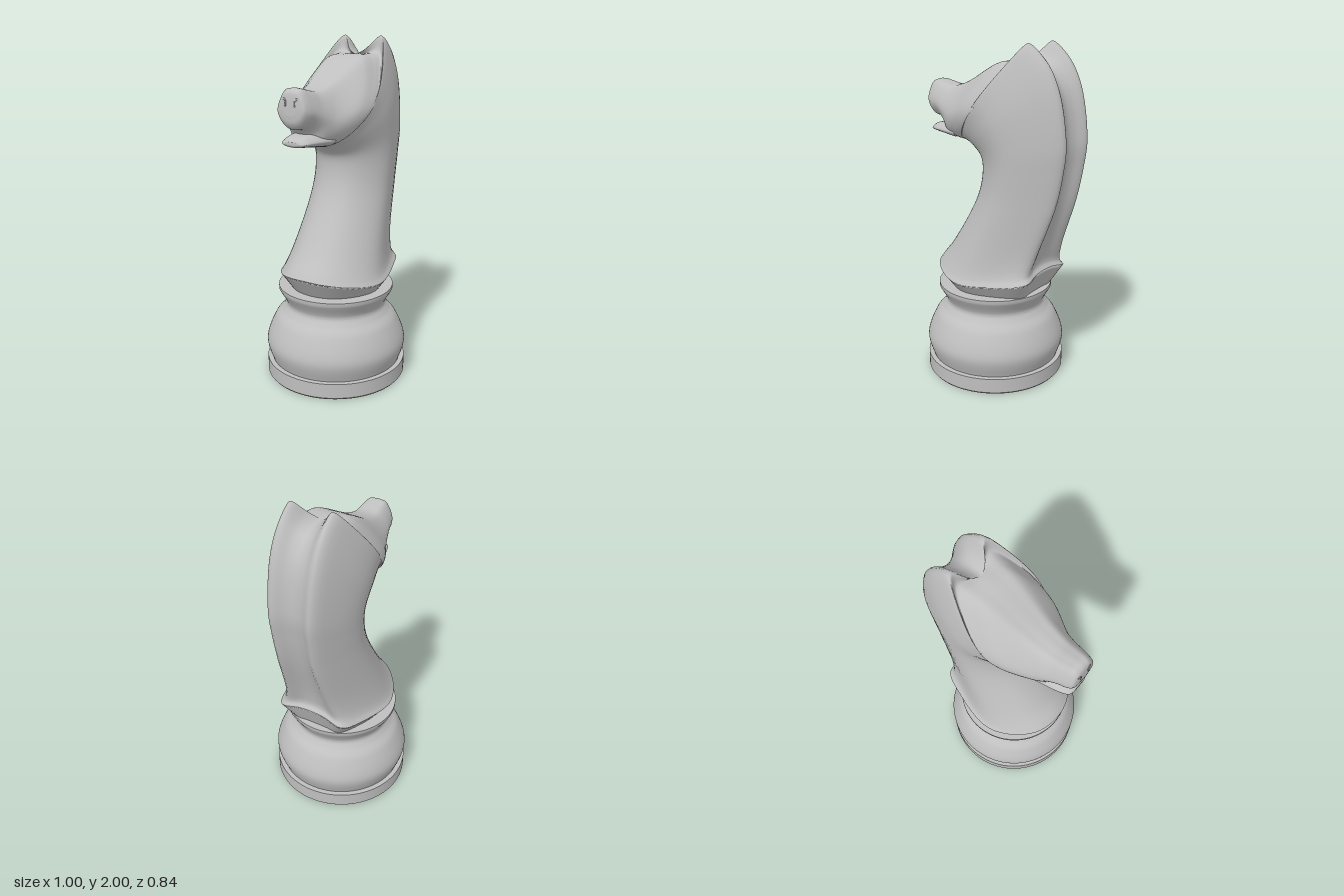
import * as THREE from 'three';
import { toCreasedNormals } from 'three/addons/utils/BufferGeometryUtils.js';

const SIDES = 64;   // points round each cross-section
const STEPS = 7;    // rings between neighbouring stations

// Closed cross-section from a front point to a back point, with two back ridges and a groove
function section([fx, fy, bx, by, width, groove, sag = 0]) {
  const ridge = 0.5 * width + 0.6 * Math.max(0, width - 0.25);
  const g = groove / Math.hypot(bx - fx, by - fy);
  const half = [
    [0.05, 0.45 * width], [0.22, 0.82 * width], [0.45, width],
    [0.8, ridge + (width - ridge) * 0.58], [1, ridge], [1 - 0.75 * g, ridge * 0.42],
  ];
  const mirrored = half.map(([v, w]) => [v, -w]).reverse();
  const points = [[0, 0], ...half, [1 - g, 0], ...mirrored].map(([v, w]) => new THREE.Vector3(
    fx + (bx - fx) * v,
    fy + (by - fy) * v - sag * (w / width) ** 2,
    w,
  ));
  const curve = new THREE.CatmullRomCurve3(points, true);
  return Array.from({ length: SIDES }, (_, j) => curve.getPoint(j / SIDES));
}

// Smooth skin through a row of cross-sections, closed at the far end
function loft(stations) {
  const loops = stations.map(section);
  const rings = (loops.length - 1) * STEPS;
  const positions = [];
  const index = [];
  const rails = loops[0].map((_, j) => new THREE.CatmullRomCurve3(loops.map((l) => l[j])));
  for (let i = 0; i <= rings; i++) {
    for (const rail of rails) positions.push(...rail.getPoint(i / rings).toArray());
  }
  for (let i = 0; i < rings; i++) {
    for (let j = 0; j < SIDES; j++) {
      const a = i * SIDES + j, b = i * SIDES + (j + 1) % SIDES;
      index.push(a, b, b + SIDES, a, b + SIDES, a + SIDES);
    }
  }
  const centre = new THREE.Vector3();
  loops.at(-1).forEach((p) => centre.addScaledVector(p, 1 / SIDES));
  positions.push(...centre.toArray());
  for (let j = 0; j < SIDES; j++) {
    index.push(rings * SIDES + j, rings * SIDES + (j + 1) % SIDES, (rings + 1) * SIDES);
  }
  const geometry = new THREE.BufferGeometry();
  geometry.setAttribute('position', new THREE.Float32BufferAttribute(positions, 3));
  geometry.setIndex(index);
  geometry.computeVertexNormals();
  return geometry;
}

// Lathe with crisp edges where the profile turns sharply
function turned(profile) {
  return toCreasedNormals(new THREE.LatheGeometry(profile, 80), 0.6);
}

export function createModel() {
  const model = new THREE.Group();
  model.name = 'chessKnight';
  const grey = new THREE.MeshStandardMaterial({ color: 0xbfbfbf });
  grey.name = 'grey';

  const add = (parent, name, geometry) => {
    const mesh = new THREE.Mesh(geometry, grey);
    mesh.name = name;
    parent.add(mesh);
    return mesh;
  };
  const v2 = (r, y) => new THREE.Vector2(r, y);

  // Turned base: flat foot, bulging body and flared rim
  const base = new THREE.Group();
  base.name = 'base';
  base.position.x = -0.055;
  model.add(base);
  add(base, 'foot', turned([v2(0, 0), v2(0.412, 0), v2(0.42, 0.01), v2(0.42, 0.098), v2(0, 0.098)]));
  const bulge = new THREE.SplineCurve([
    v2(0.39, 0.095), v2(0.42, 0.215), v2(0.37, 0.35),
    v2(0.318, 0.41), v2(0.299, 0.455), v2(0.338, 0.53),
  ]).getPoints(40);
  add(base, 'bulge', turned([...bulge, v2(0.343, 0.54), v2(0.343, 0.56), v2(0, 0.56)]));

  // Horse bust, turned slightly about the base axis
  const bust = new THREE.Group();
  bust.name = 'horse';
  bust.position.x = -0.055;
  bust.rotation.y = THREE.MathUtils.degToRad(10);
  model.add(bust);

  // Stations: front x, front y, back x, back y, half width, groove depth, side sag
  const rim = [-0.352, 0.68, 0.362, 0.7, 0.325, 0.01, 0.065];
  add(bust, 'collar', loft([[-0.265, 0.55, 0.295, 0.55, 0.27, 0], rim]));

  const neck = [
    rim,
    [-0.33, 0.71, 0.348, 0.73, 0.305, 0.015, 0.06],
    [-0.25, 0.81, 0.375, 0.82, 0.275, 0.03, 0.03],
    [-0.08, 1.1, 0.487, 1.13, 0.238, 0.05],
    [-0.04, 1.25, 0.527, 1.32, 0.235, 0.05],
    [-0.05, 1.345, 0.543, 1.48, 0.24, 0.05],
    [-0.12, 1.403, 0.492, 1.77, 0.25, 0.05],
  ];
  const ears = [
    [-0.15, 1.412, 0.41, 1.92, 0.247, 0.075],
    [-0.175, 1.418, 0.3, 2, 0.243, 0.13],
    [-0.18, 1.42, 0.268, 1.915, 0.242, 0.03],
  ];
  const face = [
    [-0.2, 1.422, 0.2, 1.895, 0.235, -0.008],
    [-0.235, 1.426, 0.1, 1.885, 0.215, -0.008],
    [-0.3, 1.44, -0.15, 1.758, 0.148, -0.01],
  ];
  const muzzle = [
    [-0.325, 1.5, -0.265, 1.727, 0.125, -0.01],
    [-0.36, 1.535, -0.345, 1.742, 0.11, -0.01],
    [-0.41, 1.545, -0.4, 1.752, 0.097, -0.008],
    [-0.434, 1.575, -0.427, 1.735, 0.083, -0.006],
    [-0.441, 1.62, -0.437, 1.695, 0.045, -0.004],
  ];
  add(bust, 'neckAndHead', loft([...neck, ...ears, ...face, ...muzzle]));

  add(bust, 'lowerJaw', loft([
    [-0.2, 1.422, -0.2, 1.52, 0.13, 0],
    [-0.38, 1.446, -0.38, 1.503, 0.09, 0],
    [-0.418, 1.452, -0.418, 1.488, 0.068, 0],
    [-0.428, 1.462, -0.428, 1.48, 0.045, 0],
  ]));

  // Eyes and nostrils, mirrored
  for (const side of [1, -1]) {
    const prefix = side > 0 ? 'left' : 'right';
    const eye = new THREE.Group();
    eye.name = `${prefix}Eye`;
    eye.position.set(0.135, 1.8, side * 0.168);
    eye.rotation.set(side * -0.55, side * -0.25, 0);
    bust.add(eye);
    add(eye, 'eyelid', new THREE.TorusGeometry(0.03, 0.008, 10, 28)).scale.y = 0.85;
    add(eye, 'eyeball', new THREE.SphereGeometry(0.016, 16, 12));

    const nostril = add(bust, `${prefix}Nostril`, new THREE.TorusGeometry(0.014, 0.004, 8, 20));
    nostril.position.set(-0.434, 1.685, side * 0.04);
    nostril.rotation.y = Math.PI / 2 + side * 0.3;
    nostril.scale.y = 1.5;
  }
  return model;
}
